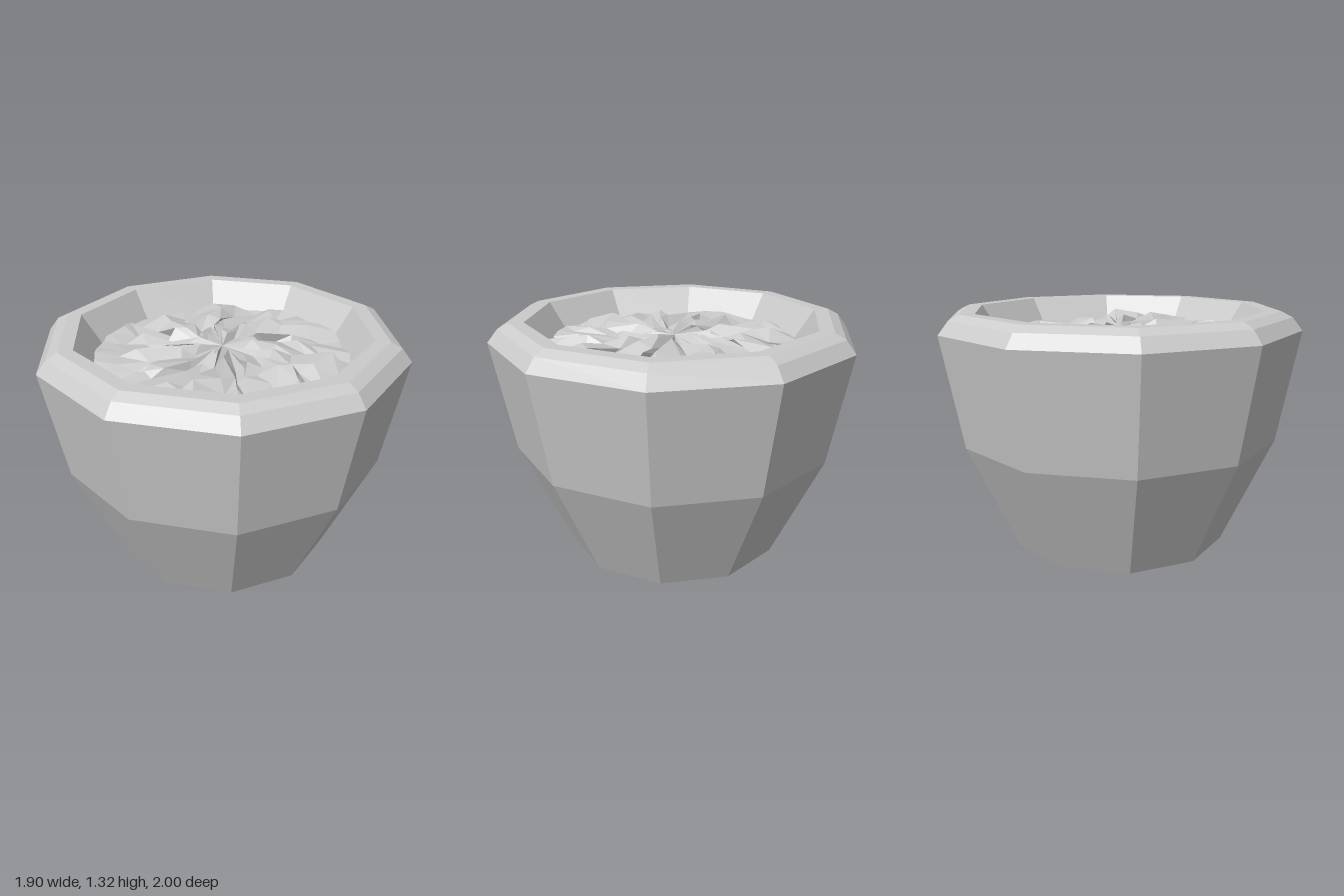
import * as THREE from 'three';
import { mergeVertices } from 'three/addons/utils/BufferGeometryUtils.js';

const SIDES = 10;

// Small seeded generator returning values in -1..1
function makeRandom(seed) {
  let s = seed;
  return () => {
    s = (s * 16807) % 2147483647;
    return (s / 2147483647) * 2 - 1;
  };
}

function createPot(material) {
  // Half section: base, flared wall, bevelled rim, sloping inner wall, inner floor
  const profile = [
    [0, 0], [0.605, 0], [0.885, 0.605], [1, 1.215], [0.945, 1.285],
    [0.885, 1.315], [0.805, 1.315], [0.69, 1.15], [0, 1.15],
  ].map(([r, y]) => new THREE.Vector2(r, y));
  const pot = new THREE.Mesh(new THREE.LatheGeometry(profile, SIDES), material);
  pot.name = 'pot';
  return pot;
}

function createSoil(material) {
  const random = makeRandom(4711);
  let geometry = new THREE.RingGeometry(0, 0.69, 40, 5);
  geometry.rotateX(-Math.PI / 2);
  geometry.deleteAttribute('uv');
  geometry.deleteAttribute('normal');
  geometry = mergeVertices(geometry, 1e-4);

  // Rough up every ring; the centre stays put and the edge keeps to the wall
  const position = geometry.attributes.position;
  for (let i = 0; i < position.count; i++) {
    const x = position.getX(i), z = position.getZ(i);
    const r = Math.hypot(x, z);
    if (r < 0.01) {
      position.setY(i, 1.21);
      continue;
    }
    const edge = r > 0.68;
    const angle = Math.atan2(z, x) + random() * (edge ? 0.04 : 0.11);
    const radius = r + random() * (edge ? 0.015 : 0.065);
    const height = edge ? 1.175 + random() * 0.02 : 1.205 + random() * 0.045;
    position.setXYZ(i, Math.cos(angle) * radius, height, Math.sin(angle) * radius);
  }
  geometry = geometry.toNonIndexed();
  geometry.computeVertexNormals();

  const soil = new THREE.Mesh(geometry, material);
  soil.name = 'soil';
  return soil;
}

export function createModel() {
  const model = new THREE.Group();
  model.name = 'plantPot';
  const potMaterial = new THREE.MeshStandardMaterial({ color: 0xcccccc, flatShading: true });
  const soilMaterial = potMaterial.clone();
  soilMaterial.side = THREE.DoubleSide;
  model.add(createPot(potMaterial), createSoil(soilMaterial));
  return model;
}
